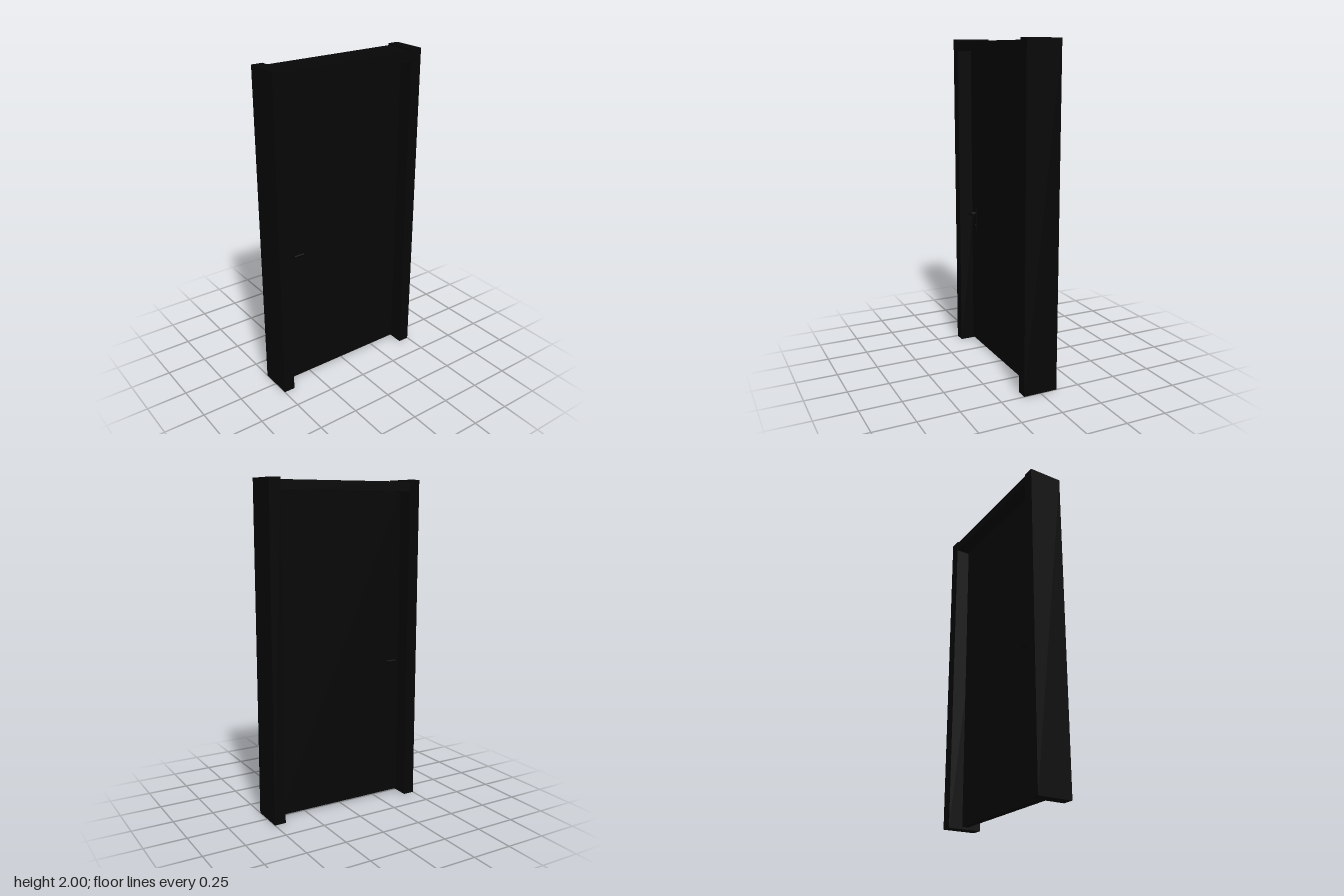
import * as THREE from 'three';

const black = new THREE.MeshStandardMaterial({ color: 0x060606 });
black.name = 'black';

function add(parent, name, geometry, x, y, z) {
  const mesh = new THREE.Mesh(geometry, black);
  mesh.name = name;
  mesh.position.set(x, y, z);
  parent.add(mesh);
  return mesh;
}
const box = (w, h, d) => new THREE.BoxGeometry(w, h, d);

// Back plate, spindle, lever and key cylinder for one face of the door
function makeHandle(side) {
  const handle = new THREE.Group();
  handle.name = side > 0 ? 'frontHandle' : 'backHandle';
  const x = -0.365, face = 0.02;
  add(handle, 'handlePlate', box(0.036, 0.165, 0.006), x, 0.838, side * (face + 0.003));
  const spindle = add(handle, 'spindle', new THREE.CylinderGeometry(0.009, 0.009, 0.036, 16), x, 0.89, side * (face + 0.022));
  spindle.rotation.x = Math.PI / 2;
  const lever = add(handle, 'lever', new THREE.CylinderGeometry(0.008, 0.008, 0.062, 16), x + 0.024, 0.89, side * (face + 0.04));
  lever.rotation.z = Math.PI / 2;
  const lock = add(handle, 'keyCylinder', new THREE.CylinderGeometry(0.008, 0.008, 0.004, 16), x, 0.81, side * (face + 0.008));
  lock.rotation.x = Math.PI / 2;
  return handle;
}

export function createModel() {
  const door = new THREE.Group();
  door.name = 'framedDoor';

  // Frame: two full-height jambs and a slightly lower header between them
  for (const side of [-1, 1]) {
    add(door, side > 0 ? 'leftJamb' : 'rightJamb', box(0.07, 2, 0.21), side * 0.465, 1, 0);
  }
  add(door, 'header', box(0.86, 0.058, 0.21), 0, 1.959, 0);

  // Thin leaf, with narrow gaps at the sides and floor
  add(door, 'doorLeaf', box(0.846, 1.917, 0.04), 0, 0.9715, 0);

  // Handles on both faces
  for (const side of [1, -1]) door.add(makeHandle(side));

  return door;
}
